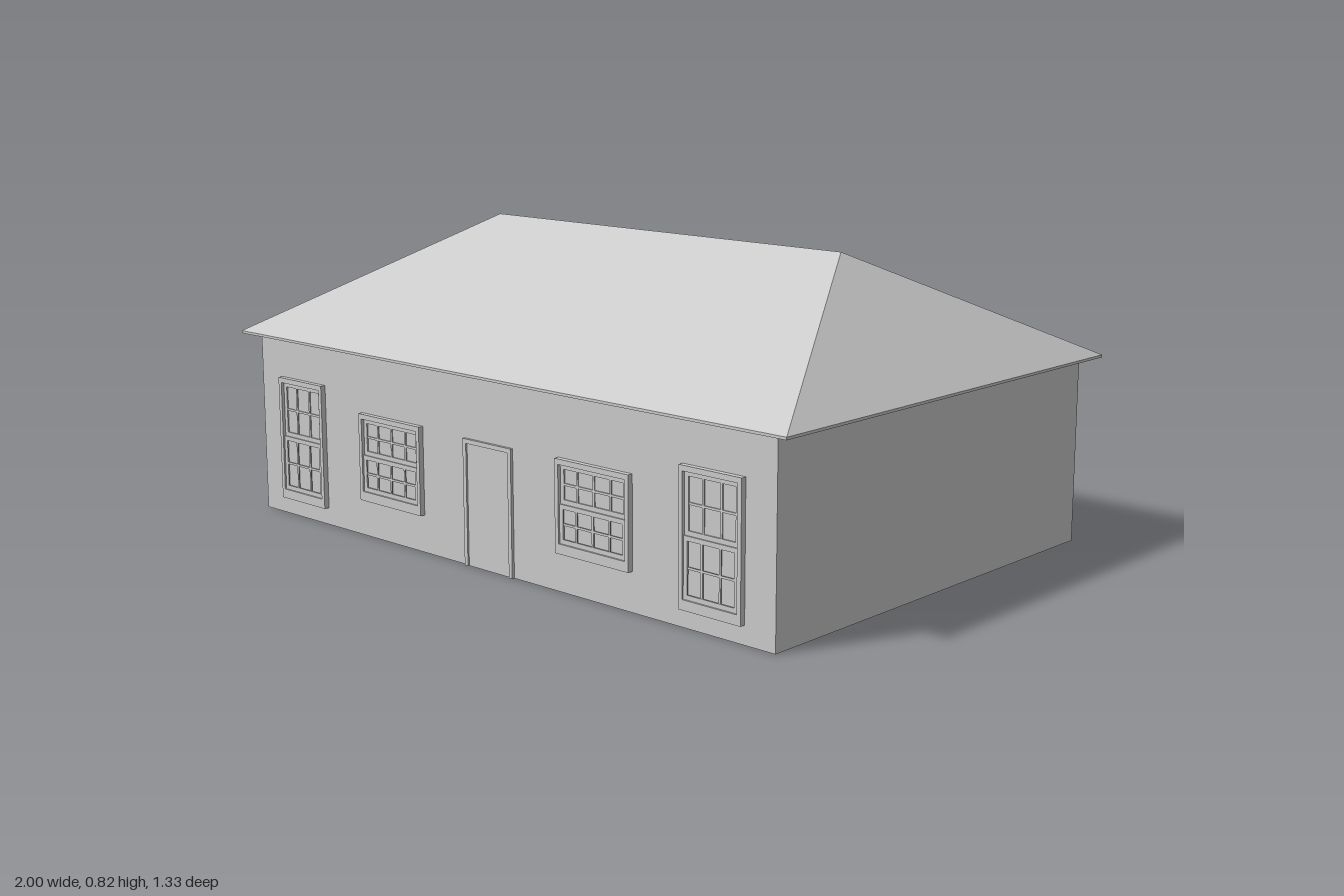
import * as THREE from 'three';

const material = new THREE.MeshStandardMaterial({ color: 0xcccccc, flatShading: true });
const WALL_Z = 0.635;

function mesh(name, geometry, x = 0, y = 0, z = 0) {
  const m = new THREE.Mesh(geometry, material);
  m.name = name;
  m.position.set(x, y, z);
  return m;
}

const box = (name, w, h, d, x, y, z) => mesh(name, new THREE.BoxGeometry(w, h, d), x, y, z);

// Rectangular ring, with separate border widths for the sides, bottom and top
function ring(name, w, h, depth, side, bottom, top, y, z) {
  const rect = (path, x0, y0, x1, y1) =>
    path.moveTo(x0, y0).lineTo(x1, y0).lineTo(x1, y1).lineTo(x0, y1).closePath();
  const shape = rect(new THREE.Shape(), -w / 2, 0, w / 2, h);
  shape.holes.push(rect(new THREE.Path(), -w / 2 + side, bottom, w / 2 - side, h - top));
  return mesh(name, new THREE.ExtrudeGeometry(shape, { depth, bevelEnabled: false }), 0, y, z);
}

// One sash: border, pane and a grid of glazing bars
function sash(w, h, y, z, columns, rows) {
  const g = new THREE.Group();
  g.name = 'sash';
  g.add(ring('sashFrame', w, h, 0.004, 0.012, 0.012, 0.012, y, z));
  for (let i = 1; i < columns; i++) {
    g.add(box('verticalBar', 0.006, h - 0.02, 0.003, -w / 2 + (w * i) / columns, y + h / 2, z + 0.0015));
  }
  for (let j = 1; j < rows; j++) {
    g.add(box('horizontalBar', w - 0.02, 0.006, 0.003, 0, y + (h * j) / rows, z + 0.0015));
  }
  return g;
}

// Sash window with the lower sash standing in front of the upper one
function sashWindow(name, x, y, w, h, columns) {
  const g = new THREE.Group();
  g.name = name;
  g.position.set(x, y, WALL_Z);
  const iw = w - 0.024, bottom = 0.026, ih = h - bottom - 0.014;
  g.add(ring('windowFrame', w, h, 0.015, 0.012, bottom, 0.014, 0, 0));
  g.add(box('glass', iw, ih, 0.002, 0, bottom + ih / 2, 0.001));
  g.add(sash(iw, ih / 2, bottom + ih / 2, 0.002, columns, 2));
  g.add(sash(iw, ih / 2, bottom, 0.006, columns, 2));
  return g;
}

// Hipped roof: thin eaves board below, four slopes meeting at a ridge
function hippedRoof() {
  const X = 1, Z = 0.667, y0 = 0.51, y1 = 0.517, top = 0.825, ridge = 0.63;
  const level = (y) => [[-X, y, Z], [X, y, Z], [X, y, -Z], [-X, y, -Z]];
  const lo = level(y0), hi = level(y1);
  const left = [ridge, top, 0], right = [-ridge, top, 0];
  const points = [];
  const quad = (a, b, c, d) => points.push(a, b, c, a, c, d);
  for (let i = 0; i < 4; i++) {
    const j = (i + 1) % 4;
    quad(lo[i], lo[j], hi[j], hi[i]);
  }
  quad(lo[3], lo[2], lo[1], lo[0]);
  quad(hi[0], hi[1], left, right);
  quad(hi[2], hi[3], right, left);
  points.push(hi[1], hi[2], left, hi[3], hi[0], right);
  const geometry = new THREE.BufferGeometry();
  geometry.setAttribute('position', new THREE.Float32BufferAttribute(points.flat(), 3));
  geometry.computeVertexNormals();
  return mesh('roof', geometry);
}

// Front door: jambs and lintel around a slightly recessed leaf
function frontDoor() {
  const g = new THREE.Group();
  g.name = 'frontDoor';
  const w = 0.18, h = 0.34, t = 0.012;
  for (const s of [-1, 1]) g.add(box('jamb', t, h, 0.008, s * (w - t) / 2, h / 2, WALL_Z + 0.004));
  g.add(box('lintel', w - 2 * t, t, 0.008, 0, h - t / 2, WALL_Z + 0.004));
  g.add(box('doorLeaf', w - 2 * t, h - t, 0.003, 0, (h - t) / 2, WALL_Z + 0.0015));
  return g;
}

export function createModel() {
  const house = new THREE.Group();
  house.name = 'house';
  house.add(box('walls', 1.9, 0.51, WALL_Z * 2, 0, 0.255, 0));
  house.add(hippedRoof());
  house.add(frontDoor());
  for (const s of [-1, 1]) {
    house.add(sashWindow('tallWindow', s * 0.762, 0.048, 0.192, 0.35, 3));
    house.add(sashWindow('wideWindow', s * 0.38, 0.103, 0.25, 0.242, 4));
  }
  return house;
}
